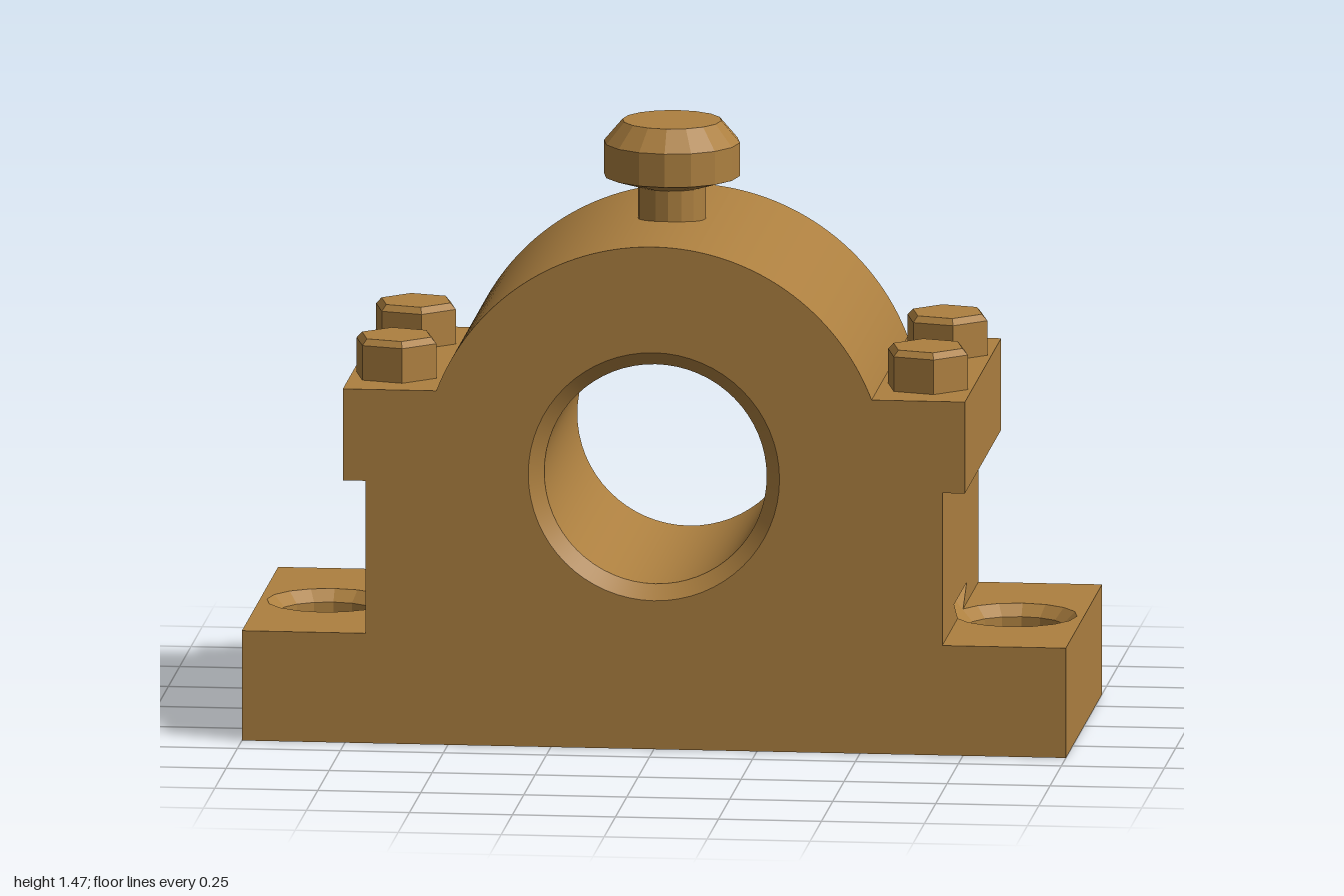
import * as THREE from 'three';

const D = 0.4;                       // half depth
const BORE_Y = 0.67, DOME_R = 0.565, CAP_Y = 0.87;
const FLANGE_Y = 0.27, WALL_X = 0.7, LEDGE_Y = 0.645, CAP_X = 0.755;
const HOLE_X = 0.835, HOLE_R = 0.12, SINK_R = 0.148, SINK_D = 0.028;
const POCKET_R = 0.195, POCKET_Y = 0.32;
const SIDES = 16, STEP = (2 * Math.PI) / SIDES;

const bronze = new THREE.MeshStandardMaterial({ color: 0xad8040 });
bronze.name = 'bronze';

function add(parent, name, geometry) {
  const mesh = new THREE.Mesh(geometry, bronze);
  mesh.name = name;
  parent.add(mesh);
  return mesh;
}

const v2 = (pts) => pts.map(([x, y]) => new THREE.Vector2(x, y));

// Turned part with faceted sides
function flatLathe(points, sides) {
  const g = new THREE.LatheGeometry(v2(points), sides).toNonIndexed();
  g.computeVertexNormals();
  return g;
}

function fromTriangles(points) {
  const g = new THREE.BufferGeometry();
  g.setAttribute('position', new THREE.Float32BufferAttribute(points.flat(), 3));
  g.computeVertexNormals();
  return g;
}

// Flat strip running through the full depth along one outline edge
function strip([ax, ay], [bx, by]) {
  const af = [ax, ay, D], ab = [ax, ay, -D], bf = [bx, by, D], bb = [bx, by, -D];
  return fromTriangles([af, ab, bb, af, bb, bf]);
}

// Corner k of a bolt hole ring, counted from the side nearest the wall
const ringPoint = (r, k, y) => [HOLE_X - r * Math.cos(k * STEP), y, r * Math.sin(k * STEP)];

// Where the ring edge k..k+1 crosses the wall plane
function wallCrossing(r, k) {
  const a = ringPoint(r, k, 0), b = ringPoint(r, k + 1, 0);
  return a[2] + ((WALL_X - a[0]) / (b[0] - a[0])) * (b[2] - a[2]);
}

// One end of the base: flange, wall, countersunk hole and cap ledge
function makeSide() {
  const side = new THREE.Group();
  const low = wallCrossing(SINK_R, 1), high = wallCrossing(POCKET_R, 2);

  add(side, 'flangeEnd', strip([1, 0], [1, FLANGE_Y]));
  add(side, 'ledgeUnderside', strip([WALL_X, LEDGE_Y], [CAP_X, LEDGE_Y]));
  add(side, 'capEnd', strip([CAP_X, LEDGE_Y], [CAP_X, CAP_Y]));
  const domeFoot = Math.sqrt(DOME_R ** 2 - (CAP_Y - BORE_Y) ** 2);
  add(side, 'capShoulder', strip([CAP_X, CAP_Y], [domeFoot, CAP_Y]));

  // Flange top with the countersink cut out
  const top = [[WALL_X, -D], [1, -D], [1, D], [WALL_X, D], [WALL_X, low]];
  for (let k = 2; k <= SIDES - 2; k++) {
    const p = ringPoint(SINK_R, k, 0);
    top.push([p[0], p[2]]);
  }
  top.push([WALL_X, -low]);
  const topGeo = new THREE.ShapeGeometry(new THREE.Shape(v2(top)));
  add(side, 'flangeTop', topGeo.rotateX(-Math.PI / 2).translate(0, FLANGE_Y, 0));

  // Wall with the notch left by the countersink
  const wall = [[-D, FLANGE_Y], [-low, FLANGE_Y], [-high, POCKET_Y], [high, POCKET_Y],
    [low, FLANGE_Y], [D, FLANGE_Y], [D, LEDGE_Y], [-D, LEDGE_Y]];
  const wallGeo = new THREE.ShapeGeometry(new THREE.Shape(v2(wall)));
  add(side, 'sideWall', wallGeo.rotateY(Math.PI / 2).translate(WALL_X, 0, 0));

  // Sloping pocket and its ceiling inside the notch
  const c0 = [WALL_X, FLANGE_Y, -low], c1 = [WALL_X, FLANGE_Y, low];
  const lower = [c0, c0, ...[-1, 0, 1].map((k) => ringPoint(SINK_R, k, FLANGE_Y)), c1, c1];
  const upper = [[WALL_X, POCKET_Y, -high],
    ...[-2, -1, 0, 1, 2].map((k) => ringPoint(POCKET_R, k, POCKET_Y)),
    [WALL_X, POCKET_Y, high]];
  const tris = [];
  for (let i = 0; i < 6; i++) {
    tris.push(lower[i], upper[i], upper[i + 1], lower[i], upper[i + 1], lower[i + 1]);
    if (i > 0) tris.push(upper[0], upper[i + 1], upper[i]);
  }
  add(side, 'countersinkPocket', fromTriangles(tris));

  // Mounting hole, countersunk at both ends
  const hole = flatLathe([[SINK_R, FLANGE_Y], [HOLE_R, FLANGE_Y - SINK_D],
    [HOLE_R, SINK_D], [SINK_R, 0]], SIDES);
  add(side, 'mountingHole', hole.translate(HOLE_X, 0, 0));
  return side;
}

export function createModel() {
  const model = new THREE.Group();
  model.name = 'bearingBlock';

  // Front and back faces
  const a = Math.acos((CAP_Y - BORE_Y) / DOME_R);
  const foot = DOME_R * Math.sin(a);
  const outline = new THREE.Shape();
  outline.moveTo(-1, 0);
  [[1, 0], [1, FLANGE_Y], [WALL_X, FLANGE_Y], [WALL_X, LEDGE_Y], [CAP_X, LEDGE_Y],
    [CAP_X, CAP_Y], [foot, CAP_Y]].forEach(([x, y]) => outline.lineTo(x, y));
  outline.absarc(0, BORE_Y, DOME_R, Math.PI / 2 - a, Math.PI / 2 + a, false);
  [[-CAP_X, CAP_Y], [-CAP_X, LEDGE_Y], [-WALL_X, LEDGE_Y], [-WALL_X, FLANGE_Y],
    [-1, FLANGE_Y]].forEach(([x, y]) => outline.lineTo(x, y));
  outline.holes.push(new THREE.Path().absarc(0, BORE_Y, 0.305, 0, Math.PI * 2, true));
  const face = new THREE.ShapeGeometry(outline, 32);
  add(model, 'frontFace', face).position.z = D;
  const back = add(model, 'backFace', face);
  back.position.z = -D;
  back.rotation.y = Math.PI;

  // Domed cap
  const dome = new THREE.CylinderGeometry(DOME_R, DOME_R, 2 * D, 64, 1, true, Math.PI - a, 2 * a);
  add(model, 'capDome', dome.rotateX(Math.PI / 2).translate(0, BORE_Y, 0));

  // Shaft bore with a chamfer at each end
  const bore = [[0.305, D], [0.27, D - 0.035], [0.27, 0.035 - D], [0.305, -D]];
  for (let i = 0; i < 3; i++) {
    const g = new THREE.LatheGeometry(v2([bore[i], bore[i + 1]]), 64);
    add(model, i === 1 ? 'bore' : 'boreChamfer',
      g.rotateX(Math.PI / 2).translate(0, BORE_Y, 0));
  }

  // Underside with the two mounting holes
  const under = new THREE.Shape(v2([[-1, -D], [1, -D], [1, D], [-1, D]]));
  for (const s of [-1, 1]) {
    const ring = [];
    for (let k = 0; k < SIDES; k++) {
      const p = ringPoint(SINK_R, k, 0);
      ring.push([s * p[0], p[2]]);
    }
    under.holes.push(new THREE.Path(v2(ring)));
  }
  add(model, 'underside', new THREE.ShapeGeometry(under).rotateX(Math.PI / 2));

  // Left and right ends
  ['leftEnd', 'rightEnd'].forEach((name, i) => {
    const side = makeSide();
    side.name = name;
    side.rotation.y = i * Math.PI;
    model.add(side);
  });

  // Hexagonal cap bolts
  const bolt = flatLathe([[0.104, 0], [0.104, 0.085], [0.09, 0.1], [0, 0.1]], 6);
  for (const x of [-0.645, 0.645]) {
    for (const z of [-0.215, 0.215]) {
      const mesh = add(model, 'capBolt', bolt);
      mesh.position.set(x, CAP_Y, z);
      mesh.rotation.y = 0.24;
    }
  }

  // Grease fitting on top
  const fitting = flatLathe([[0.083, 1.2], [0.083, 1.31], [0.165, 1.335], [0.165, 1.417],
    [0.12, 1.47], [0, 1.47]], SIDES);
  add(model, 'greaseFitting', fitting);
  return model;
}
